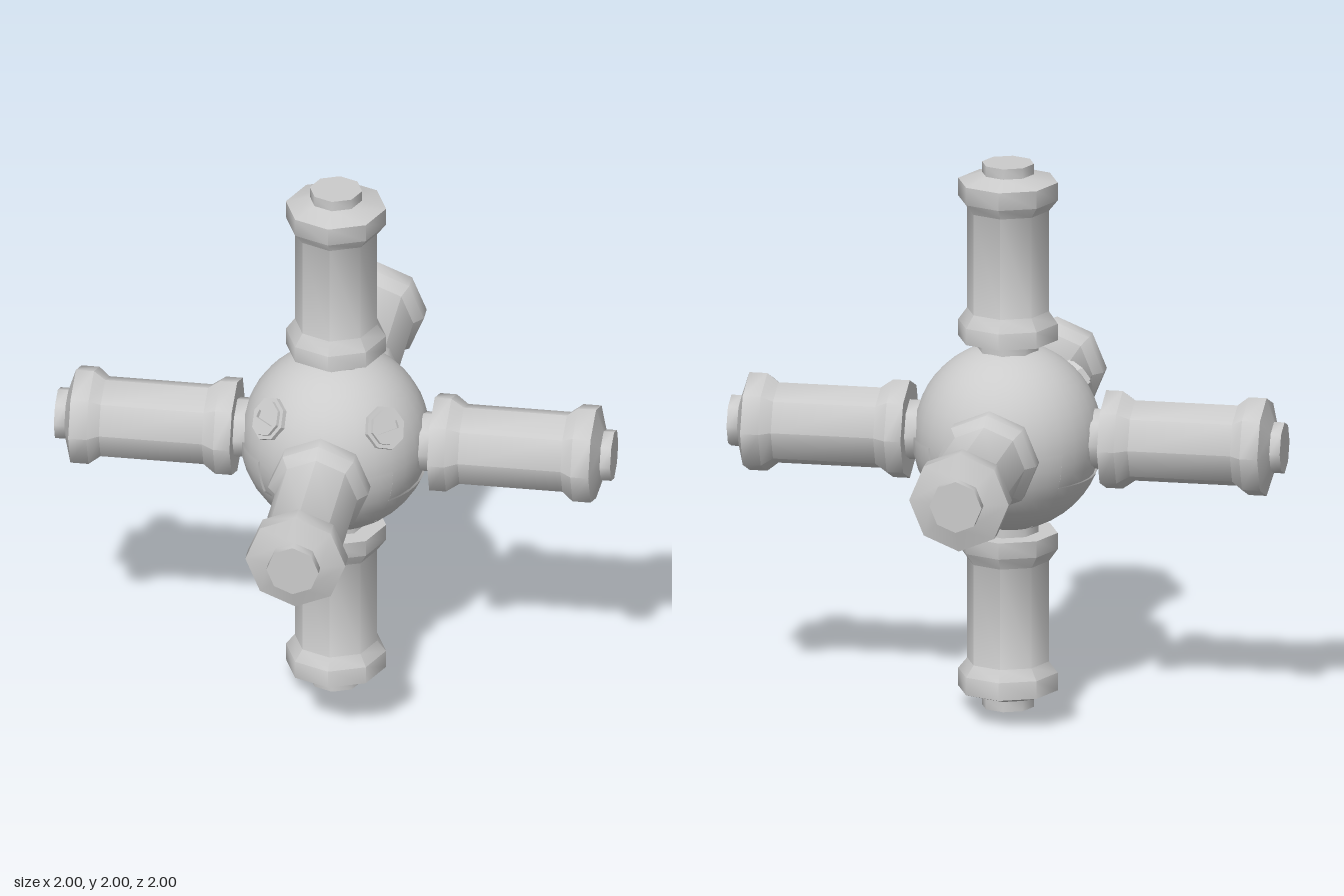
import * as THREE from 'three';
import { toCreasedNormals } from 'three/addons/utils/BufferGeometryUtils.js';

const grey = new THREE.MeshStandardMaterial({ color: 0xcccccc });
const greyDouble = new THREE.MeshStandardMaterial({ color: 0xcccccc, side: THREE.DoubleSide });
const v2 = (x, y) => new THREE.Vector2(x, y);

function addMesh(parent, name, geometry, material = grey) {
  const mesh = new THREE.Mesh(geometry, material);
  mesh.name = name;
  parent.add(mesh);
  return mesh;
}

// Flattens a ball where the six arms meet it, keeping round shading
function flattenPoles(geometry, limit) {
  const p = geometry.attributes.position;
  const n = geometry.attributes.normal;
  const v = new THREE.Vector3();
  for (let i = 0; i < p.count; i++) {
    v.fromBufferAttribute(p, i);
    const d = v.clone().normalize();
    n.setXYZ(i, d.x, d.y, d.z);
    v.clampScalar(-limit, limit);
    p.setXYZ(i, v.x, v.y, v.z);
  }
  return geometry;
}

const BALL = 0.335, SHELL = 0.343;

// Points on a circle of radius r between two heights
function arc(r, y0, y1, steps) {
  const a0 = Math.asin(y0 / r), a1 = Math.asin(y1 / r);
  return Array.from({ length: steps + 1 }, (_, i) => {
    const a = a0 + (a1 - a0) * i / steps;
    return v2(r * Math.cos(a), r * Math.sin(a));
  });
}

// Lower shell: eight sectors whose top edge alternates between two heights
function buildShell() {
  const shell = new THREE.Group();
  shell.name = 'lowerShell';
  const high = 0, low = -0.13;
  for (let i = 0; i < 8; i++) {
    const top = i % 2 ? low : high;
    const profile = arc(SHELL, -SHELL, top, 9);
    const lip = Math.sqrt(BALL * BALL - top * top) - 0.01;
    profile.push(v2(lip, top));
    const sector = new THREE.LatheGeometry(profile, 5, i * Math.PI / 4, Math.PI / 4);
    addMesh(shell, 'shellSector', flattenPoles(sector, 0.322), greyDouble);
    // Upright wall at each step
    const outline = [...arc(SHELL, low, high, 3), ...arc(BALL - 0.01, high, low, 3)];
    const wall = addMesh(shell, 'shellStep', new THREE.ShapeGeometry(new THREE.Shape(outline)), greyDouble);
    wall.rotation.y = i * Math.PI / 4 - Math.PI / 2;
    if (i % 2 === 0) wall.visible = false;
    if (!wall.visible) shell.remove(wall);
  }
  return shell;
}

// Eight-sided arm along +y, measured from the ball's centre
function armGeometry() {
  const profile = [
    [0.11, 0.28], [0.11, 0.355], [0.18, 0.355], [0.18, 0.415],
    [0.148, 0.46], [0.148, 0.83], [0.18, 0.87], [0.18, 0.935],
    [0.094, 0.962], [0.094, 1], [0, 1],
  ].map(([x, y]) => v2(x, y));
  return toCreasedNormals(new THREE.LatheGeometry(profile, 8), 0.9);
}

// Octagonal bolt facing +z, with a slotted head
function buildBolt() {
  const bolt = new THREE.Group();
  bolt.name = 'bolt';
  const base = new THREE.CylinderGeometry(0.08, 0.08, 0.05, 8).rotateX(Math.PI / 2);
  addMesh(bolt, 'boltBase', toCreasedNormals(base, 0.5)).position.z = -0.025;
  const head = new THREE.Shape(Array.from({ length: 8 }, (_, i) =>
    v2(0.065 * Math.cos(i * Math.PI / 4), 0.065 * Math.sin(i * Math.PI / 4))));
  const w = 0.045, h = 0.014;
  head.holes.push(new THREE.Path([v2(-w, -h), v2(-w, h), v2(w, h), v2(w, -h)]));
  addMesh(bolt, 'boltHead', new THREE.ExtrudeGeometry(head, { depth: 0.012, bevelEnabled: false }));
  return bolt;
}

export function createModel() {
  const model = new THREE.Group();
  model.name = 'sixArmedBall';
  const body = new THREE.Group();
  body.name = 'body';
  body.position.y = 1;
  model.add(body);

  addMesh(body, 'ball', flattenPoles(new THREE.SphereGeometry(BALL, 32, 24), 0.318));
  body.add(buildShell());

  // Six identical arms
  const arm = armGeometry();
  const up = new THREE.Vector3(0, 1, 0);
  const arms = {
    topArm: [0, 1, 0], bottomArm: [0, -1, 0], leftArm: [1, 0, 0],
    rightArm: [-1, 0, 0], frontArm: [0, 0, 1], backArm: [0, 0, -1],
  };
  for (const [name, dir] of Object.entries(arms)) {
    addMesh(body, name, arm).quaternion.setFromUnitVectors(up, new THREE.Vector3(...dir));
  }

  // Two bolts on the upper front corners
  for (const side of [-1, 1]) {
    const bolt = buildBolt();
    const dir = new THREE.Vector3(side * 0.215, 0.165, 0.215).normalize();
    bolt.position.copy(dir).multiplyScalar(0.342);
    bolt.lookAt(dir.clone().multiplyScalar(2));
    body.add(bolt);
  }
  return model;
}
